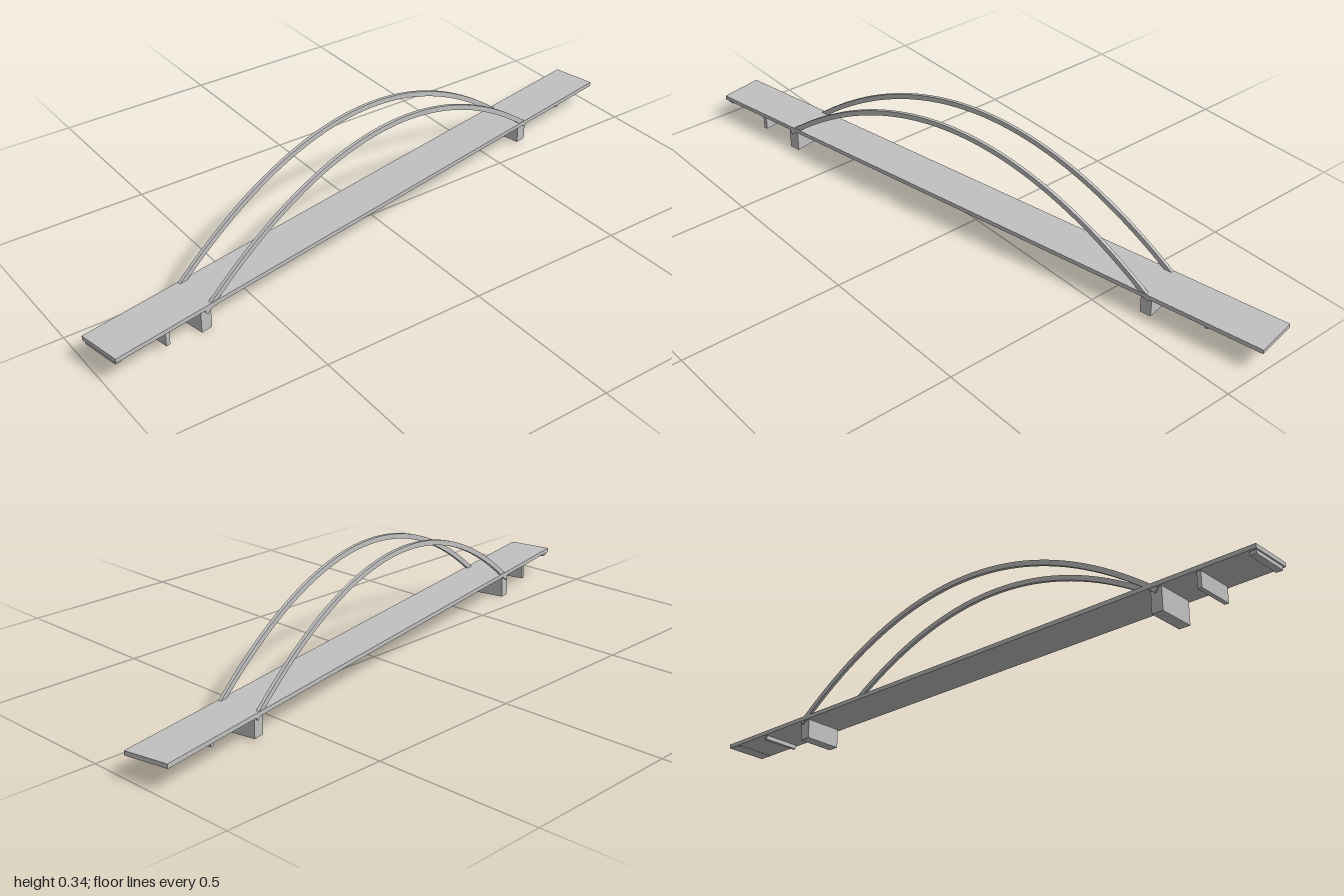
import * as THREE from 'three';

export function createModel() {
  const model = new THREE.Group();
  model.name = 'archBridge';
  const concrete = new THREE.MeshStandardMaterial({ color: 0xc0c0c0 });
  concrete.name = 'light grey concrete';

  // everything is built along x, then turned to cross at a slant
  const bridge = new THREE.Group();
  bridge.name = 'bridge';
  bridge.rotation.y = THREE.MathUtils.degToRad(11);
  model.add(bridge);

  const add = (name, geometry) => {
    const mesh = new THREE.Mesh(geometry, concrete);
    mesh.name = name;
    bridge.add(mesh);
    return mesh;
  };

  // side profile (x, y) given a width across z
  const slab = (name, points, width, z = 0) => {
    const geometry = new THREE.ExtrudeGeometry(new THREE.Shape(points), { depth: width, bevelEnabled: false });
    geometry.translate(0, 0, z - width / 2);
    return add(name, geometry);
  };
  const P = (x, y) => new THREE.Vector2(x, y);

  // gently sloping deck
  const halfLength = 1.005, thickness = 0.013;
  const deckTop = (x) => 0.081 - 0.0045 * (x / halfLength);
  slab('deck', [
    P(-halfLength, deckTop(-halfLength) - thickness),
    P(halfLength, deckTop(halfLength) - thickness),
    P(halfLength, deckTop(halfLength)),
    P(-halfLength, deckTop(-halfLength)),
  ], 0.137);

  // twin parabolic arches along the deck edges
  const centre = -0.025, halfSpan = 0.68, rise = 0.268, crown = 0.329, rib = 0.0155;
  const outer = [], inner = [];
  for (let i = 0; i <= 40; i++) {
    const t = -1 + i / 20;
    const x = centre + halfSpan * t, y = crown - rise * t * t;
    const normal = P(2 * rise * t / halfSpan, 1).normalize().multiplyScalar(rib / 2);
    outer.push(P(x + normal.x, y + normal.y));
    inner.push(P(x - normal.x, y - normal.y));
  }
  for (const side of [-1, 1]) {
    slab(side < 0 ? 'backArch' : 'frontArch', [...inner, ...outer.slice().reverse()], 0.01, side * 0.062);
  }

  // supports below the deck: name, x, length, underside height
  const supports = [
    ['leftAbutment', -0.991, 0.02, 0.061],
    ['leftOuterPier', -0.832, 0.013, 0.024],
    ['leftMainPier', -0.701, 0.035, 0],
    ['rightMainPier', 0.642, 0.035, 0.005],
    ['rightOuterPier', 0.83, 0.01, 0.051],
    ['rightAbutment', 0.965, 0.015, 0.062],
  ];
  for (const [name, x, length, bottom] of supports) {
    const top = deckTop(x) - thickness / 2;
    const pier = add(name, new THREE.BoxGeometry(length, top - bottom, 0.121));
    pier.position.set(x, (top + bottom) / 2, -0.001);
  }

  return model;
}
